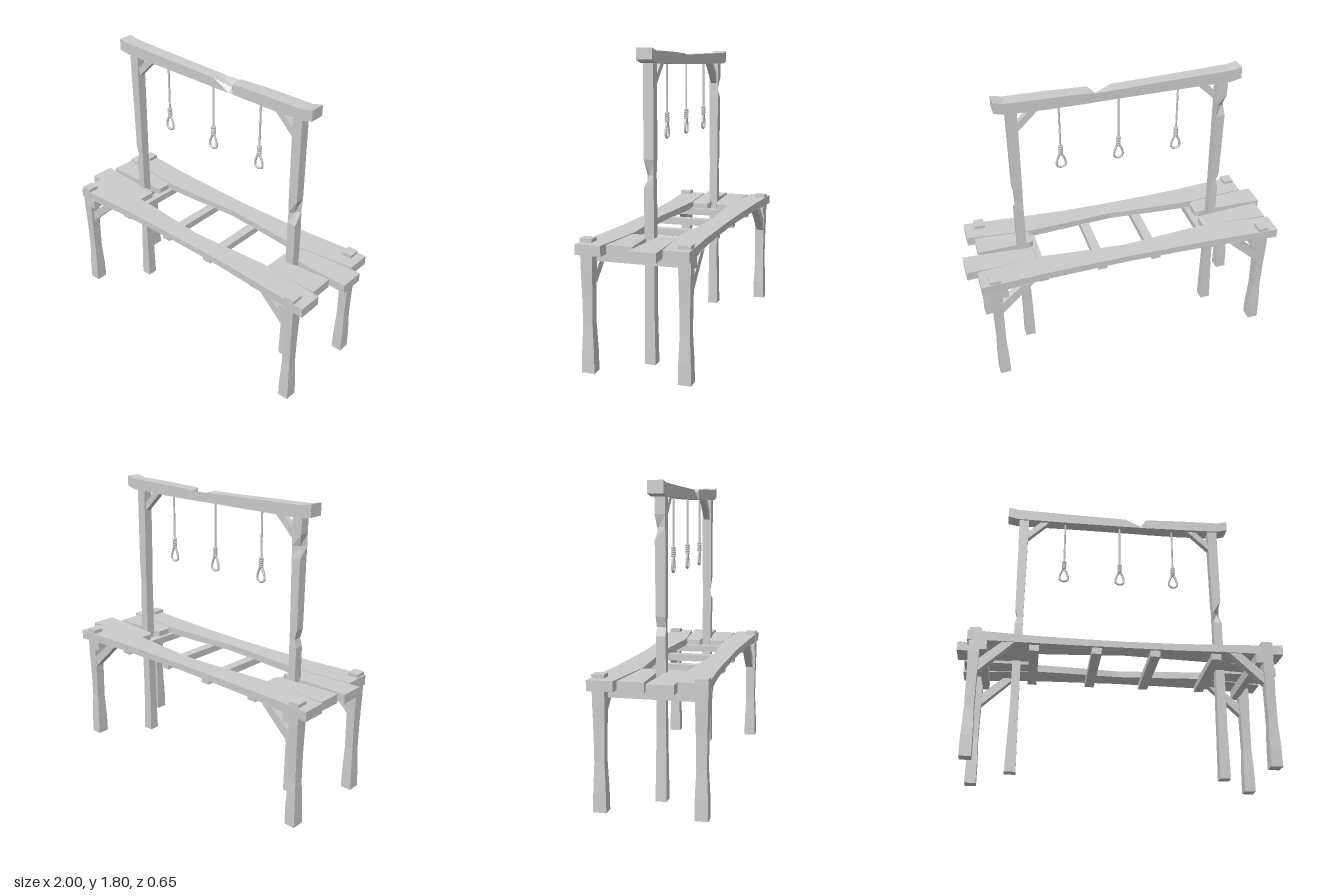
import * as THREE from 'three';

const wood = new THREE.MeshStandardMaterial({ color: 0xcccccc, flatShading: true });
const smooth = new THREE.MeshStandardMaterial({ color: 0xcccccc });

// Hewn timber along 'x' (u = y, v = z) or 'y' (u = z, v = x).
// Section: [t, u0, u1, v0, v1, gouged corner, gouge depth]
function timber(name, axis, sections) {
  const pos = [], idx = [];
  for (const [t, u0, u1, v0, v1, corner = -1, cut = 0] of sections) {
    [[u0, v0], [u1, v0], [u1, v1], [u0, v1]].forEach(([u, v], k) => {
      if (k === corner) {
        u += u === u0 ? cut : -cut;
        v += v === v0 ? cut : -cut;
      }
      pos.push(...(axis === 'x' ? [t, u, v] : [v, t, u]));
    });
  }
  const last = (sections.length - 1) * 4;
  for (let i = 0; i < last; i += 4) {
    for (let k = 0; k < 4; k++) {
      const n = (k + 1) % 4;
      idx.push(i + k, i + n, i + 4 + n, i + k, i + 4 + n, i + 4 + k);
    }
  }
  idx.push(0, 2, 1, 0, 3, 2, last, last + 1, last + 2, last, last + 2, last + 3);
  const g = new THREE.BufferGeometry();
  g.setAttribute('position', new THREE.Float32BufferAttribute(pos, 3));
  g.setIndex(idx);
  const flat = g.toNonIndexed();
  flat.computeVertexNormals();
  return named(name, flat, wood);
}

function named(name, geometry, material) {
  const m = new THREE.Mesh(geometry, material);
  m.name = name;
  return m;
}

function box(name, x0, x1, y0, y1, z0, z1) {
  const m = named(name, new THREE.BoxGeometry(x1 - x0, y1 - y0, z1 - z0), wood);
  m.position.set((x0 + x1) / 2, (y0 + y1) / 2, (z0 + z1) / 2);
  return m;
}

// Diagonal brace: outline in the xy plane, extruded from z0 to z1
function brace(name, points, z0, z1) {
  const shape = new THREE.Shape(points.map(p => new THREE.Vector2(...p)));
  const g = new THREE.ExtrudeGeometry(shape, { depth: z1 - z0, bevelEnabled: false });
  g.translate(0, 0, z0);
  return named(name, g, wood);
}

// Hanging rope with wrapped knot and teardrop loop
function rope(x) {
  const group = new THREE.Group();
  group.name = 'rope';
  const cord = named('cord', new THREE.CylinderGeometry(0.006, 0.006, 0.3, 8), smooth);
  cord.position.y = 1.57;
  group.add(cord);
  for (let i = 0; i < 5; i++) {
    const wrap = named('knotWrap', new THREE.TorusGeometry(0.008, 0.007, 6, 12), smooth);
    wrap.rotation.x = Math.PI / 2 + 0.12;
    wrap.position.y = 1.38 + i * 0.012;
    group.add(wrap);
  }
  const curve = new THREE.CatmullRomCurve3([
    [0, 1.378], [0.014, 1.36], [0.027, 1.32], [0.024, 1.297], [0, 1.286],
    [-0.024, 1.297], [-0.027, 1.32], [-0.014, 1.36],
  ].map(([a, b]) => new THREE.Vector3(a, b, 0)), true);
  group.add(named('loop', new THREE.TubeGeometry(curve, 32, 0.007, 7, true), smooth));
  group.position.x = x;
  return group;
}

export function createModel() {
  const model = new THREE.Group();
  model.name = 'gallows';

  // Tall posts with gouges
  model.add(timber('leftPost', 'y', [
    [0, -0.033, 0.033, 0.59, 0.655], [0.3, -0.028, 0.03, 0.594, 0.652],
    [0.75, -0.03, 0.028, 0.6, 0.655], [1.03, -0.028, 0.03, 0.6, 0.655],
    [1.1, -0.026, 0.028, 0.6, 0.652, 2, 0.024], [1.19, -0.03, 0.03, 0.598, 0.655],
    [1.72, -0.03, 0.03, 0.592, 0.655],
  ]));
  model.add(timber('rightPost', 'y', [
    [0, -0.033, 0.033, -0.682, -0.615], [0.4, -0.028, 0.028, -0.67, -0.62],
    [0.75, -0.028, 0.028, -0.672, -0.622], [0.95, -0.028, 0.028, -0.672, -0.622],
    [1.0, -0.026, 0.026, -0.658, -0.622], [1.06, -0.028, 0.028, -0.674, -0.622],
    [1.48, -0.03, 0.03, -0.678, -0.62], [1.55, -0.03, 0.03, -0.68, -0.62, 0, 0.018],
    [1.62, -0.03, 0.03, -0.68, -0.618], [1.72, -0.03, 0.03, -0.682, -0.618],
  ]));

  // Top beam, lifted at the ends and gouged on the front edge
  model.add(timber('topBeam', 'x', [
    [-0.755, 1.728, 1.8, -0.05, 0.042], [-0.69, 1.715, 1.788, -0.048, 0.04],
    [-0.3, 1.713, 1.778, -0.044, 0.036], [0.03, 1.712, 1.77, -0.046, 0.036],
    [0.14, 1.712, 1.768, -0.048, 0.036, 2, 0.03], [0.17, 1.712, 1.775, -0.05, 0.036],
    [0.4, 1.713, 1.782, -0.053, 0.04], [0.66, 1.718, 1.785, -0.05, 0.042],
    [0.725, 1.735, 1.8, -0.05, 0.042],
  ]));
  model.add(brace('rightUpperBrace', [[-0.625, 1.575], [-0.485, 1.715], [-0.54, 1.715], [-0.625, 1.63]], -0.02, 0.02));
  model.add(brace('leftUpperBrace', [[0.6, 1.575], [0.6, 1.63], [0.51, 1.715], [0.455, 1.715]], -0.02, 0.02));
  for (const x of [-0.375, -0.008, 0.348]) model.add(rope(x));

  // Platform legs and their braces
  for (const side of [-1, 1]) {
    const cx = side < 0 ? -0.888 : 0.85;
    for (const end of [-1, 1]) {
      const leg = (y, hx, hz) => [y, end * 0.284 - hz, end * 0.284 + hz, cx - hx, cx + hx];
      model.add(timber('leg', 'y', [
        leg(0, 0.034, 0.038), leg(0.12, 0.033, 0.036), leg(0.28, 0.027, 0.029),
        leg(0.45, 0.028, 0.031), leg(0.62, 0.032, 0.035), leg(0.772, 0.033, 0.036),
      ]));
      const ix = cx - side * 0.03;
      const z0 = end > 0 ? 0.25 : -0.315;
      model.add(brace('legBrace', [
        [ix, 0.51], [ix, 0.585], [ix - side * 0.13, 0.7], [ix - side * 0.2, 0.7],
      ], z0, z0 + 0.05));
    }
    // Cross beam between each pair of legs
    const bx = cx - side * 0.05;
    model.add(box('crossBeam', bx - 0.022, bx + 0.022, 0.635, 0.698, -0.32, 0.32));
  }

  // Joists under the platform
  for (const x of [-0.545, -0.175, 0.176, 0.548]) {
    model.add(box('joist', x - 0.029, x + 0.029, 0.662, 0.705, -0.27, 0.27));
  }

  // Long planks
  model.add(timber('frontPlank', 'x', [
    [-0.93, 0.692, 0.752, 0.158, 0.322], [-0.54, 0.7, 0.746, 0.136, 0.297],
    [-0.3, 0.701, 0.744, 0.15, 0.29], [0, 0.702, 0.742, 0.172, 0.287],
    [0.3, 0.701, 0.744, 0.152, 0.289], [0.53, 0.7, 0.746, 0.138, 0.3],
    [0.945, 0.692, 0.752, 0.17, 0.322],
  ]));
  model.add(timber('backPlank', 'x', [
    [-0.98, 0.692, 0.752, -0.33, -0.182], [-0.54, 0.7, 0.746, -0.303, -0.138],
    [-0.3, 0.701, 0.744, -0.298, -0.152], [0, 0.702, 0.742, -0.292, -0.174],
    [0.3, 0.701, 0.744, -0.298, -0.155], [0.53, 0.7, 0.746, -0.303, -0.136],
    [0.935, 0.692, 0.752, -0.33, -0.18],
  ]));

  // Short planks at both ends: outer x, inner x, z range, inner z range
  for (const [xo, xi, z0, z1, w0, w1] of [
    [-0.965, -0.545, -0.165, -0.015, -0.128, -0.05],
    [-1, -0.55, 0.003, 0.155, 0.025, 0.12],
    [1, 0.552, -0.168, -0.01, -0.128, -0.045],
    [0.9, 0.55, 0.003, 0.155, 0.035, 0.122],
  ]) {
    const at = f => xo + (xi - xo) * f;
    const secs = [
      [xo, 0.694, 0.75, z0, z1], [at(0.5), 0.698, 0.746, z0 + 0.012, z1 - 0.008],
      [at(0.95), 0.7, 0.744, w0 - 0.01, w1 + 0.015], [xi, 0.702, 0.74, w0, w1],
    ];
    model.add(timber('shortPlank', 'x', xo < xi ? secs : secs.reverse()));
  }
  return model;
}
